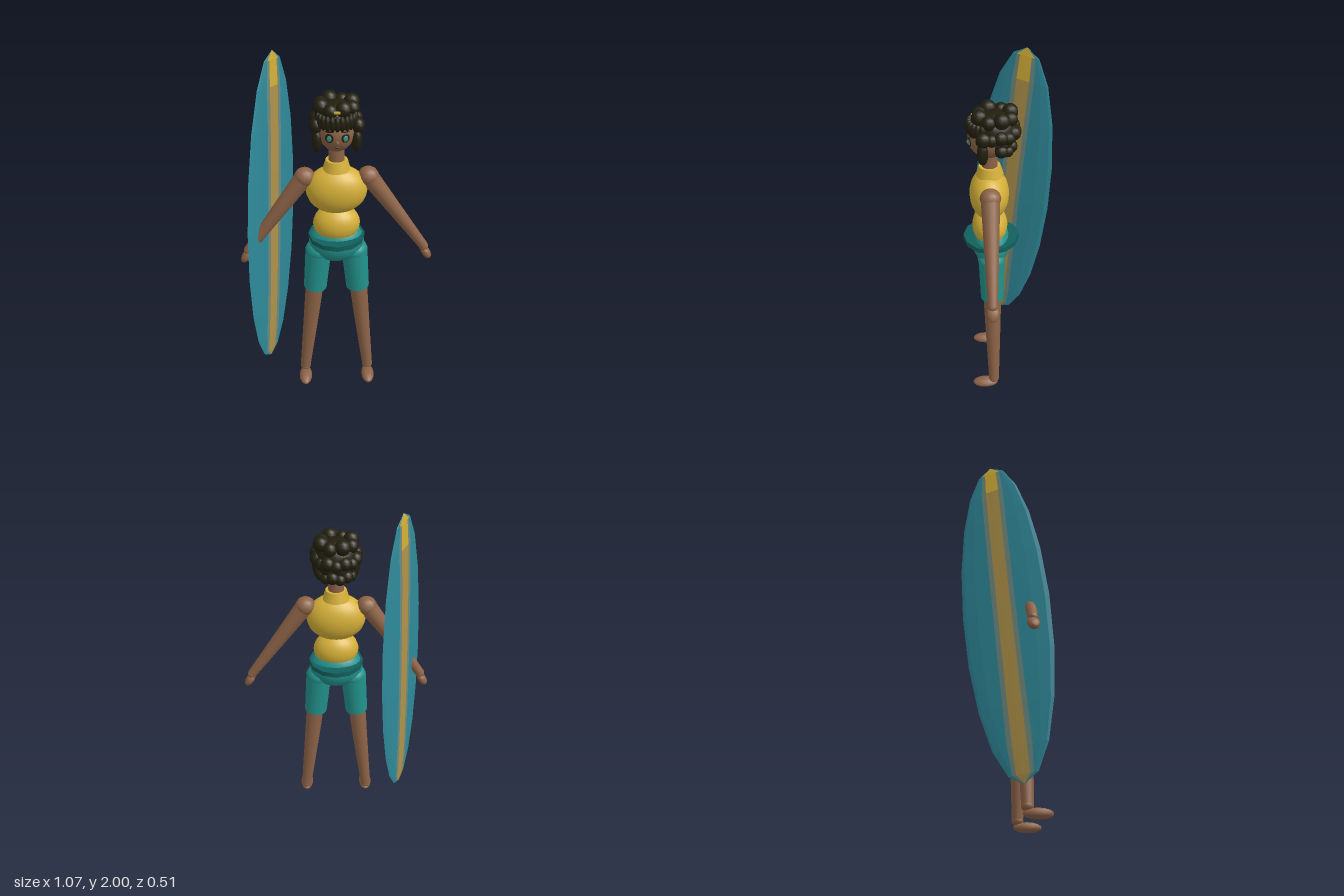
import * as THREE from 'three';

const mat = (name, color, extra = {}) => {
  const m = new THREE.MeshStandardMaterial({ color, ...extra });
  m.name = name;
  return m;
};

export function createModel() {
  const skin = mat('skin', 0x8d6347);
  const hair = mat('dark hair', 0x221f0e);
  const gold = mat('golden shirt', 0xd4af37);
  const teal = mat('teal shorts', 0x22918b);
  const dark = mat('dark teal belt', 0x115f5c);
  const blue = mat('board blue', 0x2f8a9a);
  const grey = mat('board border', 0x6f8a80);
  const ochre = mat('board stripe', 0xb0934a);
  const iris = mat('iris', 0x3f8f86);

  const model = new THREE.Group();
  model.name = 'surferWithBoard';
  const Z = 0.1; // depth of the body's axis

  const add = (name, geo, material, x, y, z, parent = model) => {
    const mesh = new THREE.Mesh(geo, material);
    mesh.name = name;
    mesh.position.set(x, y, z);
    parent.add(mesh);
    return mesh;
  };
  // Ellipsoid from centre and three radii
  const ball = (name, material, [x, y, z], [rx, ry, rz], parent = model, w = 16, h = 12) =>
    add(name, new THREE.SphereGeometry(1, w, h).scale(rx, ry, rz), material, x, y, z, parent);
  // Tapered tube between two points
  const up = new THREE.Vector3(0, 1, 0);
  const limb = (name, material, a, b, ra, rb, parent = model) => {
    const A = new THREE.Vector3(...a), B = new THREE.Vector3(...b);
    const d = B.clone().sub(A), c = A.clone().add(B).multiplyScalar(0.5);
    const mesh = add(name, new THREE.CylinderGeometry(rb, ra, d.length(), 16), material, c.x, c.y, c.z, parent);
    mesh.quaternion.setFromUnitVectors(up, d.normalize());
    return mesh;
  };

  // Torso
  ball('waist', gold, [0, 1.112, 0.105], [0.128, 0.108, 0.098], model, 20, 14);
  ball('chest', gold, [0, 1.318, 0.105], [0.164, 0.137, 0.107], model, 20, 14);
  add('collar', new THREE.CylinderGeometry(0.058, 0.074, 0.055, 16), gold, 0, 1.462, Z);
  add('neck', new THREE.CylinderGeometry(0.04, 0.043, 0.16, 16), skin, 0, 1.53, Z);
  add('belt', new THREE.CylinderGeometry(0.154, 0.154, 0.028, 12), dark, 0, 1.03, Z);
  ball('hips', teal, [0, 0.995, Z], [0.153, 0.125, 0.107], model, 20, 14);

  // Arms and legs
  for (const s of [-1, 1]) {
    const side = s > 0 ? 'left' : 'right';
    const arm = new THREE.Group();
    arm.name = side + 'Arm';
    model.add(arm);
    ball('shoulder', skin, [s * 0.167, 1.39, Z], [0.056, 0.052, 0.056], arm, 12, 8);
    limb('armTube', skin, [s * 0.172, 1.385, Z], [s * 0.49, 0.94, Z], 0.05, 0.026, arm);
    ball('wrist', skin, [s * 0.488, 0.94, Z], [0.027, 0.027, 0.027], arm);
    const hand = ball('hand', skin, [s * 0.503, 0.902, Z], [0.024, 0.046, 0.034], arm, 12, 8);
    hand.rotation.z = s * 0.58;

    const leg = new THREE.Group();
    leg.name = side + 'Leg';
    model.add(leg);
    ball('hipJoint', teal, [s * 0.1, 0.935, Z], [0.073, 0.06, 0.075], leg);
    limb('shortsLeg', teal, [s * 0.1, 0.94, Z], [s * 0.122, 0.682, Z], 0.073, 0.066, leg);
    limb('thigh', skin, [s * 0.12, 0.75, Z], [s * 0.148, 0.475, Z], 0.053, 0.045, leg);
    ball('knee', skin, [s * 0.148, 0.475, Z], [0.045, 0.045, 0.045], leg);
    limb('shin', skin, [s * 0.148, 0.475, Z], [s * 0.192, 0.07, Z], 0.045, 0.031, leg);
    ball('ankle', skin, [s * 0.192, 0.066, Z], [0.032, 0.028, 0.032], leg);
    const foot = ball('foot', skin, [s * 0.192, 0.031, 0.153], [0.039, 0.077, 0.029], leg, 12, 8);
    foot.rotation.x = Math.PI / 2;
  }

  // Head and face
  const head = new THREE.Group();
  head.name = 'head';
  model.add(head);
  ball('face', skin, [0, 1.652, Z], [0.094, 0.108, 0.11], head, 20, 14);
  ball('nose', skin, [0, 1.628, 0.208], [0.009, 0.011, 0.009], head, 8, 6);
  ball('mouth', hair, [0, 1.597, 0.194], [0.014, 0.003, 0.004], head, 8, 6);
  for (const s of [-1, 1]) {
    ball('eyeRim', hair, [s * 0.04, 1.65, 0.199], [0.022, 0.024, 0.004], head).rotation.y = s * 0.36;
    ball('iris', iris, [s * 0.041, 1.648, 0.202], [0.013, 0.016, 0.004], head).rotation.y = s * 0.36;
    const brow = ball('brow', hair, [s * 0.04, 1.682, 0.194], [0.024, 0.005, 0.005], head, 8, 6);
    brow.rotation.y = s * 0.36;
    ball('sideLock', hair, [s * 0.1, 1.61, 0.135], [0.027, 0.062, 0.03], head, 10, 8);
    ball('templeCurl', hair, [s * 0.105, 1.69, 0.13], [0.035, 0.04, 0.04], head, 10, 8);
  }

  // Curly hair: a cap, rings of curls and a fringe
  ball('hairCap', hair, [0, 1.705, 0.07], [0.112, 0.092, 0.112], head);
  ball('napeHair', hair, [0, 1.64, 0.05], [0.095, 0.08, 0.075], head);
  // count, height, ring radius, curl radius, start and end angle (0 is the back)
  const rings = [
    [8, 1.772, 0.084, 0.042, -2.75, 2.75],
    [9, 1.69, 0.102, 0.038, -1.75, 1.75],
    [6, 1.605, 0.082, 0.035, -1.2, 1.2],
  ];
  for (const [n, y, R, r, a0, a1] of rings) {
    for (let i = 0; i < n; i++) {
      const a = a0 + (a1 - a0) * i / (n - 1);
      const k = r * (i % 2 ? 1 : 0.9);
      ball('curl', hair, [Math.sin(a) * R, y + (i % 2 ? 0.006 : -0.004), 0.07 - Math.cos(a) * R], [k, k, k], head, 10, 8);
    }
  }
  for (let i = 0; i < 11; i++) {
    const a = (i - 5) * 0.25;
    ball('fringe', hair, [Math.sin(a) * 0.098, 1.722, Z + Math.cos(a) * 0.102], [0.017, 0.04, 0.02], head, 8, 8);
  }
  add('hairClip', new THREE.BoxGeometry(0.03, 0.012, 0.008), gold, 0, 1.775, 0.184, head);

  // Surfboard: a flat lens in lengthwise columns, one mesh per colour
  const board = new THREE.Group();
  board.name = 'surfboard';
  board.position.set(-0.36, 1.06, -0.025);
  board.rotation.set(0, 1.065, -0.1);
  model.add(board);
  const L = 0.943, W = 0.245, T = 0.021, rows = 10;
  const columns = (w) => {
    const g = Math.min(0.065, w * 0.7), s = Math.min(0.038, w * 0.45);
    return [-w, -(w * 0.88 + g * 0.12), -(w + g) / 2, -g, -s, 0, s, g, (w + g) / 2, w * 0.88 + g * 0.12, w];
  };
  const colours = [blue, blue, blue, grey, ochre, ochre, grey, blue, blue, blue];
  const faces = new Map([blue, grey, ochre, gold].map((m) => [m, []]));
  const ring = (i) => {
    const t = Math.PI * i / rows, w = W * Math.sin(t), y = L * Math.cos(t);
    return columns(w).map((x) => [x, y, T * Math.sqrt(Math.max(0, 1 - (y / L) ** 2 - (x / W) ** 2))]);
  };
  for (let i = 0; i < rows; i++) {
    const upper = ring(i), lower = ring(i + 1);
    colours.forEach((colour, j) => {
      const tip = (i === 0 && colour !== blue) || (i === 1 && colour === ochre);
      const list = faces.get(tip ? gold : colour);
      const a = upper[j], b = upper[j + 1], c = lower[j], d = lower[j + 1];
      const back = ([x, y, z]) => [x, y, -z];
      const tris = [];
      if (i > 0) tris.push([a, c, b]);
      if (i < rows - 1) tris.push([b, c, d]);
      if (i === 0) tris.push([a, c, d]);
      for (const [p, q, r] of tris) {
        list.push(...p, ...q, ...r, ...back(p), ...back(r), ...back(q));
      }
    });
  }
  const names = ['boardDeck', 'boardBorder', 'boardStripe', 'boardTip'];
  [...faces].forEach(([material, list], i) => {
    const geo = new THREE.BufferGeometry();
    geo.setAttribute('position', new THREE.Float32BufferAttribute(list, 3));
    geo.computeVertexNormals();
    add(names[i], geo, material, 0, 0, 0, board);
  });

  return model;
}
